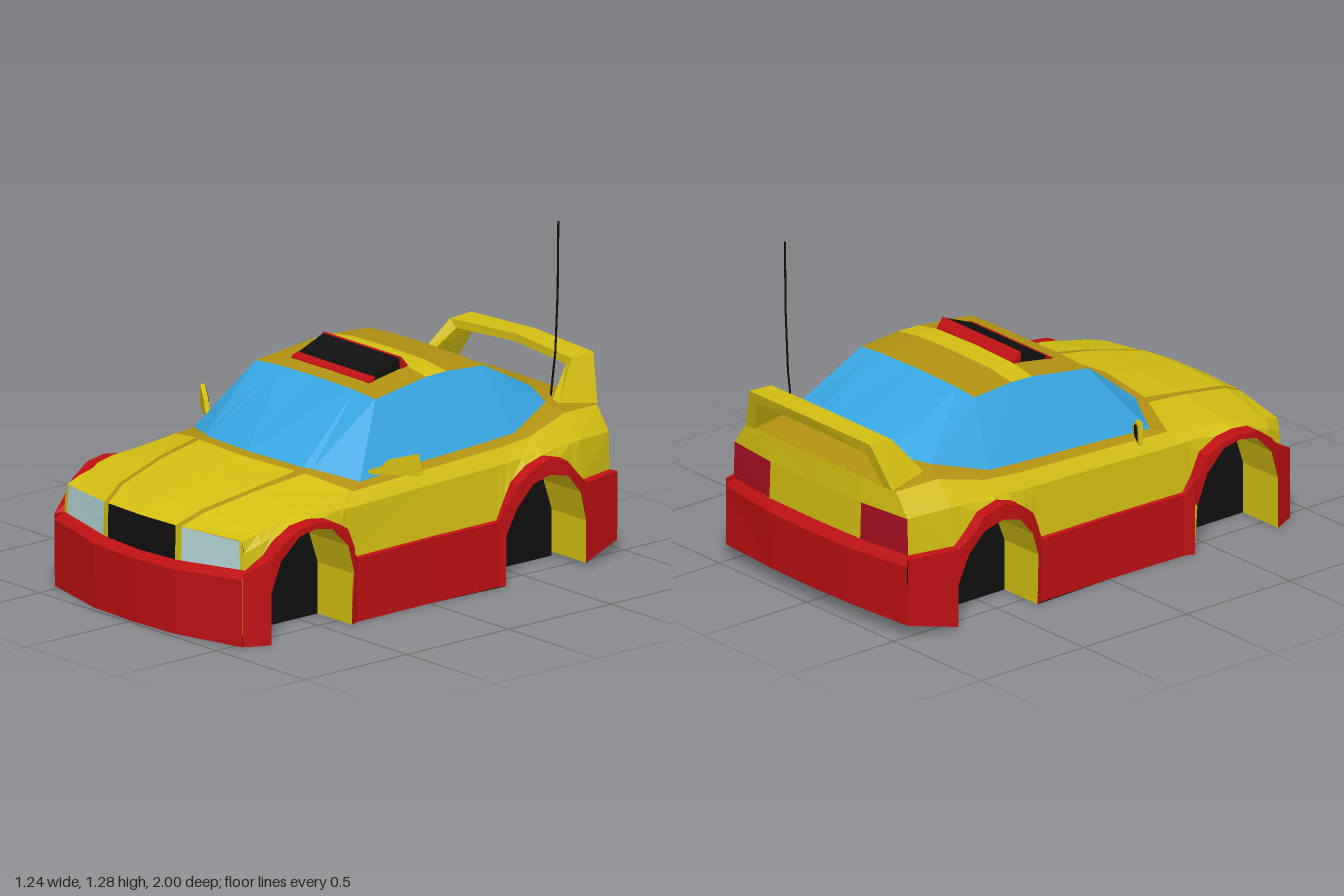
import * as THREE from 'three';

const mat = (name, color) => Object.assign(
  new THREE.MeshStandardMaterial({ color, flatShading: true, side: THREE.DoubleSide }), { name });

// Faceted sheet through rows of [x, y, z] points
function sheet(rows) {
  const p = [];
  for (let i = 0; i + 1 < rows.length; i++)
    for (let j = 0; j + 1 < rows[i].length; j++) {
      const a = rows[i][j], b = rows[i][j + 1], c = rows[i + 1][j + 1], d = rows[i + 1][j];
      p.push(...a, ...b, ...c, ...a, ...c, ...d);
    }
  const g = new THREE.BufferGeometry();
  g.setAttribute('position', new THREE.Float32BufferAttribute(p, 3));
  g.computeVertexNormals();
  return g;
}

const shape = pts => new THREE.Shape(pts.map(([a, b]) => new THREE.Vector2(a, b)));

// Side outline given as [z, y], extruded across the car
function prism(pts, width) {
  return new THREE.ExtrudeGeometry(shape(pts), { depth: width, bevelEnabled: false })
    .rotateY(-Math.PI / 2).translate(width / 2, 0, 0);
}

// Lower side stations: z, bottom y, bottom x, red top y (bottom follows the wheel arches)
const STATIONS = [
  [.90, 0, .53, .28], [.80, 0, .58, .33], [.80, .2, .58, .33], [.76, .32, .59, .375],
  [.68, .40, .60, .425], [.60, .415, .60, .437], [.52, .40, .60, .425], [.44, .32, .60, .385],
  [.40, .2, .59, .30], [.40, 0, .575, .30], [.36, 0, .56, .245], [0, 0, .555, .25],
  [-.33, 0, .56, .25], [-.36, 0, .57, .31], [-.36, .2, .575, .31], [-.40, .3, .59, .385],
  [-.47, .38, .60, .435], [-.55, .40, .60, .46], [-.64, .38, .60, .435], [-.71, .3, .59, .36],
  [-.75, .18, .575, .325], [-.75, .015, .575, .325], [-.95, .055, .52, .32],
];

// Upper side: z, lower x, crease x, crease y, shoulder x, shoulder y
const UPPER = [
  [.87, .51, .505, .35, .495, .395], [.80, .53, .525, .38, .505, .415],
  [.60, .55, .535, .45, .505, .46], [.36, .55, .54, .44, .50, .485],
  [0, .55, .535, .45, .50, .50], [-.40, .55, .535, .46, .50, .515],
  [-.55, .555, .54, .475, .49, .525], [-.75, .55, .535, .48, .455, .57],
  [-.93, .50, .495, .47, .43, .56],
];

function upperAt(z) {
  let i = 0;
  while (i < UPPER.length - 2 && z < UPPER[i + 1][0]) i++;
  const a = UPPER[i], b = UPPER[i + 1], t = (z - a[0]) / (b[0] - a[0]);
  return a.map((v, k) => v + (b[k] - v) * t);
}
const shoulder = z => { const u = upperAt(z); return [u[4], u[5], z]; };

export function createModel() {
  const car = new THREE.Group();
  car.name = 'rallyCar';
  const yellow = mat('yellowPaint', 0xd2be12), mustard = mat('mustardTrim', 0xb09012);
  const red = mat('redPaint', 0xbe1013), tail = mat('tailLightRed', 0xa81020);
  const blue = mat('blueGlass', 0x37a6e2), lamp = mat('headlightGlass', 0xb4d6d6);
  const black = mat('black', 0x101010);

  const add = (name, material, geometry) => {
    const m = new THREE.Mesh(geometry, material);
    m.name = name;
    car.add(m);
    return m;
  };
  // Panel on the left and its mirror on the right
  const both = (name, material, rows) => {
    add(name + 'Left', material, sheet(rows));
    add(name + 'Right', material, sheet(rows.map(r => r.map(([x, y, z]) => [-x, y, z]))));
  };
  const columns = (rows, a, b) => rows.map(r => r.slice(a, b + 1));

  // Sides
  const clampZ = z => Math.min(.87, Math.max(-.93, z));
  both('sideSkirt', red, STATIONS.map(([z, yb, xb, yr]) => {
    const u = upperAt(clampZ(z));
    return [[xb, yb, z], [Math.min(xb + .002, .598), yr, z], [u[1], yr + .006, u[0]]];
  }));
  both('sidePanel', yellow, STATIONS.map(([z, , , yr]) => {
    const u = upperAt(clampZ(z));
    return [[u[1], yr + .006, u[0]], [u[2], Math.max(u[3], yr + .01), u[0]], [u[4], u[5], u[0]]];
  }));

  // Wheel wells
  const inner = .38;
  for (const [name, a, b] of [['front', 1, 9], ['rear', 13, 21]]) {
    const arch = STATIONS.slice(a, b + 1);
    both(name + 'WheelLiner', yellow, arch.map(([z, y, x]) => [[x, y, z], [inner, y, z]]));
    both(name + 'WheelWell', black, arch.map(([z, y]) => [[inner, 0, z], [inner, y, z]]));
  }

  // Floor, narrow between the wheel wells
  add('floor', black, sheet([
    [0, .985, 0], [.22, .975, 0], [.53, .90, 0], [.58, .80, 0], [inner, .80, 0], [inner, .40, 0],
    [.575, .40, 0], [.56, .36, 0], [.555, 0, 0], [.57, -.36, 0], [inner, -.36, 0],
    [inner, -.75, .015], [.575, -.75, .015], [.52, -.95, .055], [.22, -.98, .06], [0, -.985, .06],
  ].map(([w, z, y]) => [[-w, y, z], [w, y, z]])));

  // Bumpers
  both('frontBumper', red, [
    [[0, 0, .985], [.22, 0, .975], [.53, 0, .90]],
    [[0, .25, .995], [.22, .252, .985], [.53, .26, .902]],
    [[0, .268, .945], [.22, .272, .93], [.51, .287, .87]],
  ]);
  both('rearBumper', red, [
    [[0, .06, -.985], [.22, .06, -.98], [.52, .055, -.95]],
    [[0, .29, -1], [.22, .29, -.995], [.52, .29, -.952]],
    [[0, .326, -.965], [.27, .326, -.96], [.50, .326, -.93]],
  ]);

  // Hood, with a narrow stripe on each side
  const lip = [[0, .402, .94], [.19, .402, .932], [.215, .402, .928], shoulder(.87)];
  const hood = [lip,
    [[0, .455, .84], [.22, .45, .835], [.245, .448, .83], shoulder(.80)],
    [[0, .51, .60], [.26, .50, .60], [.285, .498, .60], shoulder(.60)],
    [[0, .538, .45], [.27, .53, .415], [.31, .526, .40], shoulder(.33)]];
  both('hood', yellow, columns(hood, 0, 1));
  both('hoodStripe', mustard, columns(hood, 1, 2));
  both('hoodSide', yellow, columns(hood, 2, 3));

  // Nose
  const nose = [
    [[0, .268, .945], [.19, .271, .935], [.22, .272, .93], [.49, .286, .875], [.51, .287, .87]],
    [lip[0], lip[1], [.22, .402, .928], [.482, .395, .874], lip[3]]];
  both('grille', black, columns(nose, 0, 1));
  both('grillePillar', yellow, columns(nose, 1, 2));
  both('headlight', lamp, columns(nose, 2, 3));
  both('noseCorner', yellow, columns(nose, 3, 4));

  // Cabin: glass, cowl, belt line and roof
  const screenBase = [[0, .545, .41], [.27, .535, .375], [.30, .532, .355], [.47, .505, .27]];
  const roof = [
    [[0, .768, .075], [.19, .767, .078], [.22, .766, .079], [.338, .757, .08]],
    [[0, .815, -.18], [.2, .81, -.18], [.23, .807, -.18], [.325, .79, -.18]],
    [[0, .814, -.28], [.2, .81, -.28], [.23, .807, -.28], [.325, .793, -.28]],
    [[0, .793, -.46], [.2, .79, -.46], [.23, .788, -.46], [.325, .78, -.46]]];
  const backBase = [[0, .61, -.81], [.18, .61, -.80], [.22, .609, -.79], [.38, .60, -.72]];
  both('cowl', mustard, [hood[3], screenBase]);
  both('windshield', blue, [screenBase, roof[0]]);
  both('roofFront', mustard, roof.slice(0, 2));
  both('roofMiddle', yellow, roof.slice(1, 3));
  both('roofRear', mustard, roof.slice(2, 4));
  both('rearWindow', blue, [roof[3], backBase]);
  const sill = [screenBase[3], [.465, .52, 0], [.46, .533, -.35], [.455, .54, -.5], backBase[3]];
  both('sideWindow', blue, [
    [roof[0][3], roof[1][3], roof[2][3], roof[3][3], roof[3][3]], sill]);
  both('beltLine', mustard, [
    [...sill, [.43, .56, -.93]], [.33, 0, -.40, -.55, -.75, -.93].map(shoulder)]);

  // Tail
  const deckEdge = [[0, .57, -.95], [.2, .57, -.947], [.25, .569, -.945], [.43, .56, -.93]];
  both('trunkLid', mustard, [backBase, deckEdge]);
  const rear = [
    [[0, .326, -.965], [.26, .326, -.96], [.50, .326, -.93]],
    [[0, .47, -.96], [.26, .47, -.955], [.495, .47, -.93]],
    [[0, .57, -.95], [.25, .569, -.945], [.43, .56, -.93]]];
  both('rearPanel', yellow, columns(rear.slice(0, 2), 0, 1));
  both('tailLight', tail, columns(rear.slice(0, 2), 1, 2));
  both('rearUpperPanel', yellow, rear.slice(1));

  // Spoiler: closed section swept from the middle of the wing to its foot
  both('spoiler', yellow, [
    [[0, .745, -.90], [0, .745, -1], [0, .70, -.985], [0, .715, -.90]],
    [[.345, .73, -.88], [.345, .735, -.985], [.31, .69, -.975], [.31, .70, -.88]],
    [[.40, .59, -.77], [.42, .562, -.94], [.37, .562, -.94], [.36, .59, -.77]],
  ].map(s => [...s, s[0]]));

  // Roof scoop
  add('scoopIntake', black, prism([[0, .765], [0, .787], [-.145, .845], [-.16, .79]], .43));
  add('scoopRearFrame', red, prism([[-.143, .84], [-.15, .85], [-.18, .815], [-.18, .795], [-.15, .79]], .44));
  add('scoopFrontFrame', red, prism([[.008, .765], [.008, .783], [-.02, .798], [-.02, .77]], .44));

  // Door mirrors, swept back towards the tip
  const outline = shape([[.44, .53], [.46, .52], [.62, .53], [.605, .61], [.52, .582], [.50, .555]]);
  const face = shape([[.52, .53], [.612, .536], [.598, .60], [.525, .575]]);
  const sweep = (g, side, z) => {
    const p = g.attributes.position;
    for (let i = 0; i < p.count; i++) {
      p.setXYZ(i, side * p.getX(i), p.getY(i), p.getZ(i) + z - .65 * (p.getX(i) - .45));
    }
    g.computeVertexNormals();
    return g;
  };
  for (const [name, side] of [['Left', 1], ['Right', -1]]) {
    add('mirror' + name, yellow, sweep(
      new THREE.ExtrudeGeometry(outline, { depth: .022, bevelEnabled: false }), side, .20));
    add('mirrorGlass' + name, black, sweep(new THREE.ShapeGeometry(face), side, .196));
  }

  // Flat whip antenna on the trunk
  add('antenna', black, sheet([[.315, .58], [.343, .77], [.356, 1], [.36, 1.28]]
    .map(([x, y]) => [[x - .006, y, -.8], [x + .006, y, -.8]])));

  return car;
}
